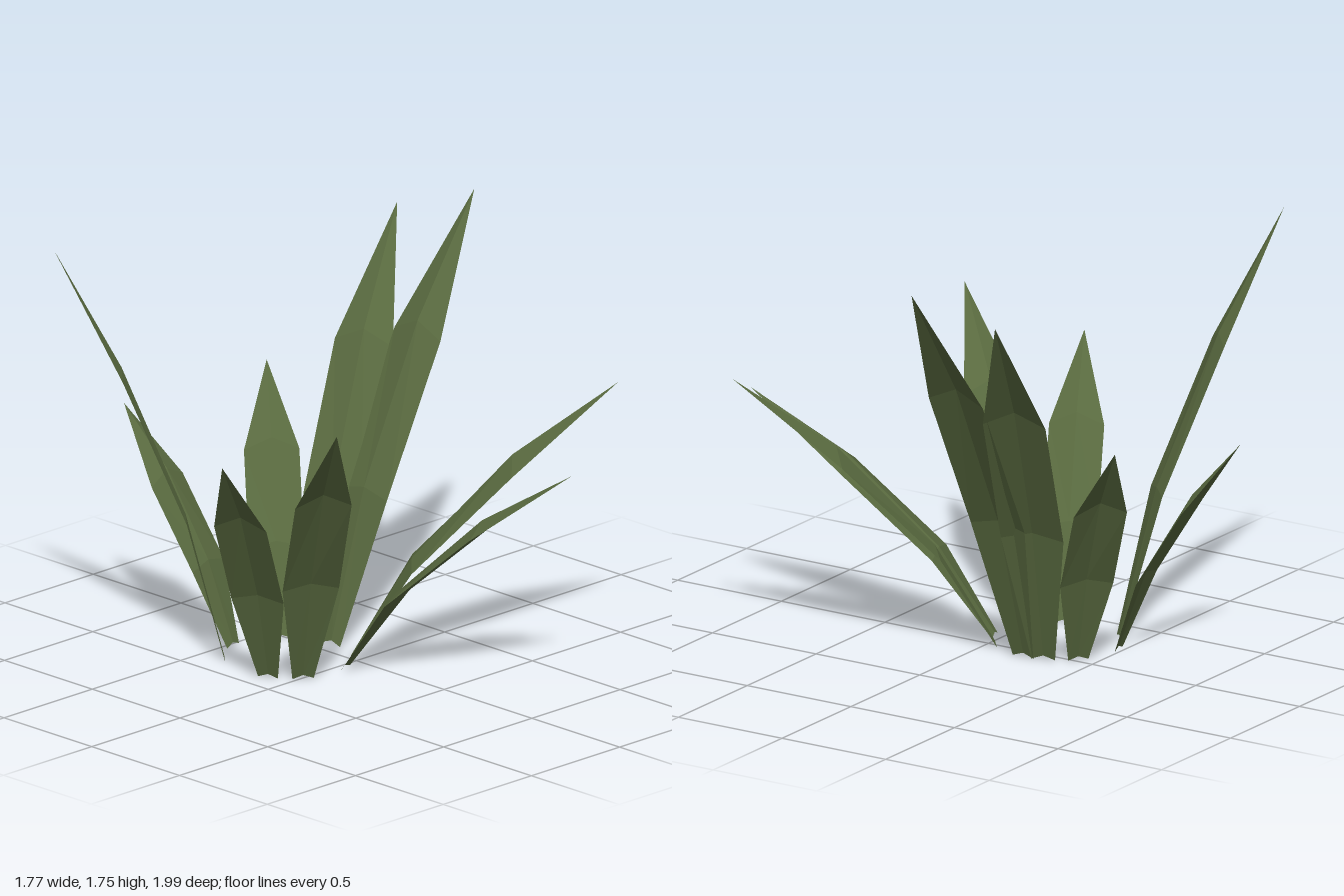
import * as THREE from 'three';

// One leaf: base centre (x, z), tip (x, y, z), half width at its broadest
const LEAVES = [
  [0.07, -0.213, 0.88, 1.74, -0.213, 0.13],
  [0.055, -0.30, 0.773, 1.63, -0.545, 0.13],
  [-0.02, -0.42, 0.287, 1.015, -0.80, 0.112],
  [-0.222, -0.48, -0.323, 0.93, -1.0, 0.111],
  [-0.36, -0.39, -0.878, 1.755, -0.842, 0.085],
  [-0.397, -0.105, -0.887, 1.065, 0.127, 0.112],
  [-0.307, 0.005, -0.665, 1.25, 0.557, 0.116],
  [-0.098, 0.035, 0.238, 0.97, 0.99, 0.116],
  [-0.005, -0.027, 0.746, 1.185, 0.742, 0.126],
];

// Rows along a leaf: outward fraction, height fraction, width factor, midrib lift factor
const ROWS = [
  [0, 0, 0.38, 0.13],
  [0.228, 0.342, 1, 0.23],
  [0.603, 0.69, 1, 0.45],
];

function leafGeometry([bx, bz, tx, ty, tz, halfWidth]) {
  const dx = tx - bx, dz = tz - bz;
  const length = Math.hypot(dx, dz);
  const sx = -dz / length, sz = dx / length; // sideways direction
  const points = [];
  // Each row has a side edge, a raised midrib and the other side edge
  for (const [out, up, width, lift] of ROWS) {
    for (const side of [-1, 0, 1]) {
      const offset = side * width * halfWidth;
      points.push(
        bx + dx * out + sx * offset,
        ty * up + (side === 0 ? lift * halfWidth : 0),
        bz + dz * out + sz * offset,
      );
    }
  }
  points.push(tx, ty, tz);

  const index = [];
  const tip = ROWS.length * 3;
  for (let half = 0; half < 2; half++) {
    for (let row = 0; row < ROWS.length - 1; row++) {
      const a = row * 3 + half, b = a + 1, c = a + 3, d = a + 4;
      index.push(a, b, c, b, d, c);
    }
    const last = tip - 3 + half;
    index.push(last, last + 1, tip);
  }
  const geometry = new THREE.BufferGeometry();
  geometry.setAttribute('position', new THREE.Float32BufferAttribute(points, 3));
  geometry.setIndex(index);
  const flat = geometry.toNonIndexed();
  flat.computeVertexNormals();
  return flat;
}

export function createModel() {
  const group = new THREE.Group();
  group.name = 'plant';
  const leafGreen = new THREE.MeshStandardMaterial({
    color: 0x5a6b40, flatShading: true, side: THREE.DoubleSide,
  });
  leafGreen.name = 'leaf green';

  LEAVES.forEach((leaf, i) => {
    const mesh = new THREE.Mesh(leafGeometry(leaf), leafGreen);
    mesh.name = `leaf${i + 1}`;
    group.add(mesh);
  });
  return group;
}
